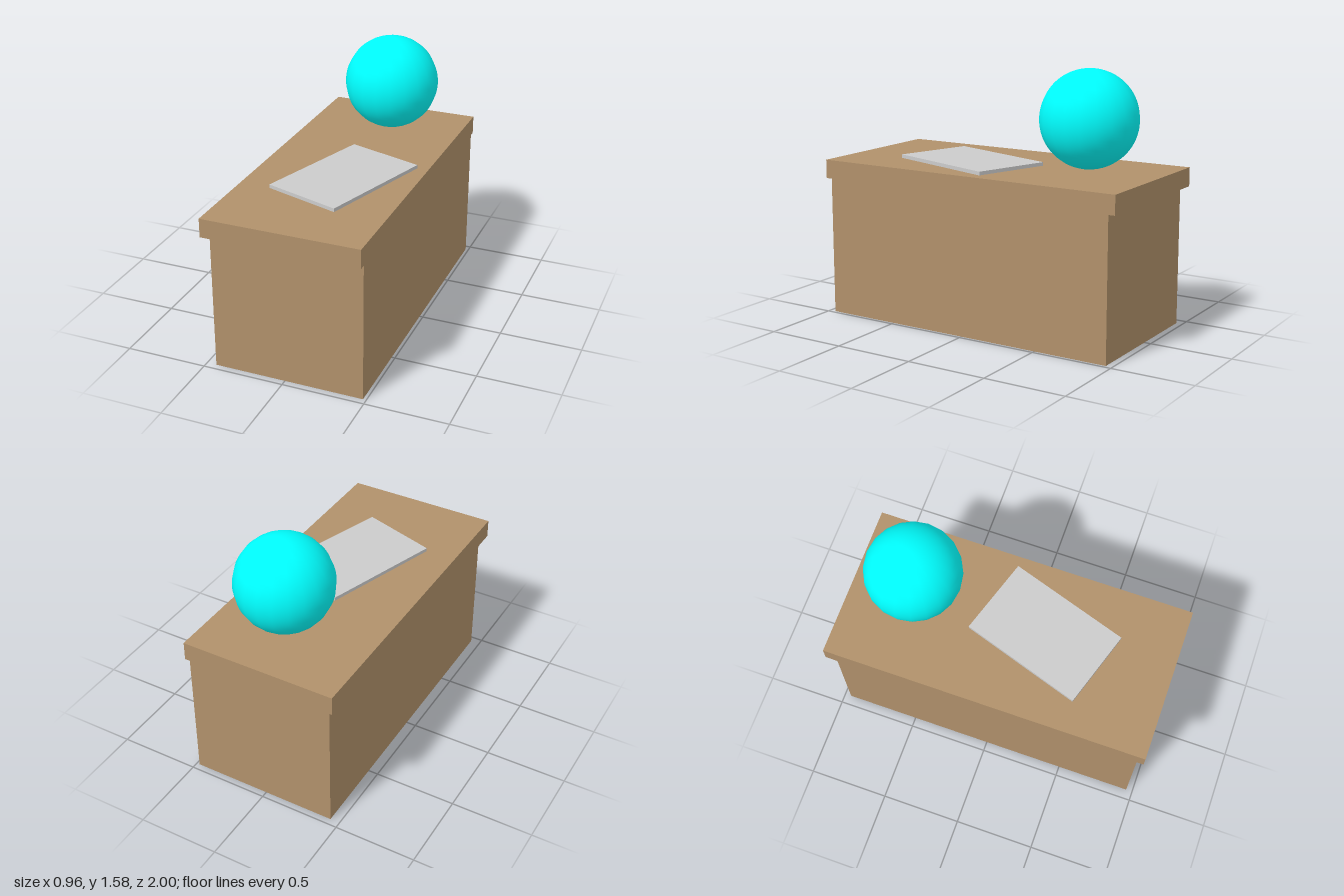
import * as THREE from 'three';

export function createModel() {
  const model = new THREE.Group();
  const wood = new THREE.MeshStandardMaterial({ color: 0xb1916b, side: THREE.DoubleSide });
  const grey = new THREE.MeshStandardMaterial({ color: 0xcccccc });
  const cyan = new THREE.MeshStandardMaterial({ color: 0x00ffff });

  function add(parent, name, geometry, material, x, y, z, turn = 0) {
    const mesh = new THREE.Mesh(geometry, material);
    mesh.name = name;
    mesh.position.set(x, y, z);
    mesh.rotation.y = turn;
    parent.add(mesh);
    return mesh;
  }

  // Desk body: four thin walls, open underneath, flush with the top on +x
  const height = 0.85, width = 0.92, depth = 1.92, centreX = 0.02;
  const body = new THREE.Group();
  body.name = 'deskBody';
  model.add(body);
  for (const s of [1, -1]) {
    add(body, s > 0 ? 'frontWall' : 'backWall', new THREE.PlaneGeometry(width, height), wood,
      centreX, height / 2, s * depth / 2, s > 0 ? 0 : Math.PI);
    add(body, s > 0 ? 'leftWall' : 'rightWall', new THREE.PlaneGeometry(depth, height), wood,
      centreX + s * width / 2, height / 2, 0, s * Math.PI / 2);
  }

  // Overhanging slab
  add(model, 'deskTop', new THREE.BoxGeometry(0.96, 0.115, 2), wood, 0, 0.9075, 0);

  // Thin plate lying at an angle on the desk
  add(model, 'plate', new THREE.BoxGeometry(0.49, 0.022, 0.766), grey, 0.06, 0.976, 0.205, -0.31);

  // Ball hovering just above the far end
  add(model, 'ball', new THREE.SphereGeometry(0.29, 20, 48), cyan, 0.05, 1.29, -0.605);

  return model;
}
